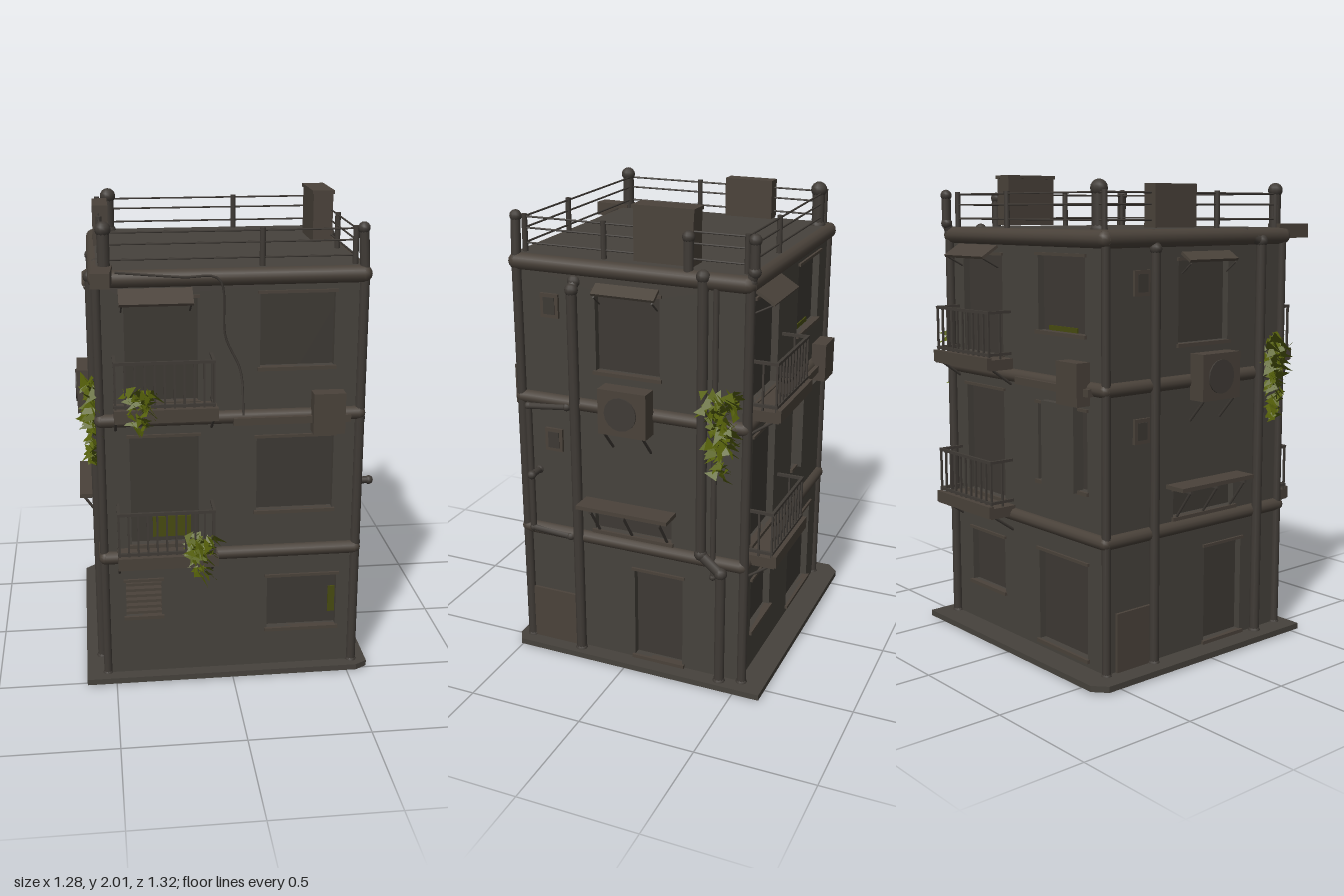
import * as THREE from 'three';

const mat = (name, hex, double) => {
  const m = new THREE.MeshStandardMaterial({ color: hex });
  m.name = name;
  if (double) m.side = THREE.DoubleSide;
  return m;
};

export function createModel() {
  const root = new THREE.Group();
  root.name = 'building';
  const wall = mat('concrete', 0x46423c), pane = mat('dark pane', 0x3d3934), metal = mat('metal', 0x403b36),
    trim = mat('trim', 0x4a423a), leaf = mat('ivy green', 0x55600a, true), moss = mat('moss', 0x474b10);
  let seed = 7;
  const rnd = () => (seed = (seed * 16807) % 2147483647) / 2147483647;

  const add = (parent, name, geo, m, x = 0, y = 0, z = 0) => {
    const o = new THREE.Mesh(geo, m);
    o.name = name;
    o.position.set(x, y, z);
    parent.add(o);
    return o;
  };
  // box given by its min and max corners
  const box = (p, name, m, x0, x1, y0, y1, z0, z1) =>
    add(p, name, new THREE.BoxGeometry(x1 - x0, y1 - y0, z1 - z0), m, (x0 + x1) / 2, (y0 + y1) / 2, (z0 + z1) / 2);
  // round bar between two points
  const bar = (p, name, m, a, b, r, n = 8) => {
    const A = new THREE.Vector3(...a), B = new THREE.Vector3(...b), d = B.clone().sub(A);
    const o = add(p, name, new THREE.CylinderGeometry(r, r, d.length(), n), m);
    o.position.copy(A).lerp(B, 0.5);
    o.quaternion.setFromUnitVectors(new THREE.Vector3(0, 1, 0), d.normalize());
    return o;
  };
  // pipe run with ball joints
  const pipe = (p, name, r, pts) => {
    const g = new THREE.Group();
    g.name = name;
    p.add(g);
    pts.forEach((q, i) => {
      if (i) bar(g, 'pipeLength', metal, pts[i - 1], q, r, 10);
      add(g, 'pipeJoint', new THREE.SphereGeometry(r * 1.25, 10, 8), metal, ...q);
    });
  };

  // base slab with two clipped corners
  const X0 = -0.53, X1 = 0.52, Z0 = -0.51, Z1 = 0.475;
  const slab = new THREE.Shape([[-0.625, -0.53], [0.54, -0.53], [0.59, -0.5], [0.59, 0.62], [-0.57, 0.62], [-0.625, 0.57]]
    .map(q => new THREE.Vector2(...q)));
  const base = add(root, 'baseSlab', new THREE.ExtrudeGeometry(slab, { depth: 0.025, bevelEnabled: false }), wall);
  base.rotation.x = -Math.PI / 2;

  // core and roof
  box(root, 'core', pane, X0 + 0.03, X1 - 0.03, 0.02, 1.74, Z0 + 0.03, Z1 - 0.03);
  box(root, 'roof', wall, X0, X1, 1.72, 1.775, Z0, Z1);

  // one group per side: local x runs to the right seen from outside, z points outward
  const side = (name, rot, x, z) => {
    const g = new THREE.Group();
    g.name = name;
    g.rotation.y = rot;
    g.position.set(x, 0, z);
    root.add(g);
    return g;
  };
  const front = side('frontSide', 0, 0, Z1), back = side('backSide', Math.PI, 0, Z0);
  const right = side('plusXSide', Math.PI / 2, X1, 0), left = side('minusXSide', -Math.PI / 2, X0, 0);

  // wall with recessed openings [x0, x1, y0, y1], corner balls and rounded floor bands
  const facade = (g, a, b, holes) => {
    const rect = (T, x0, x1, y0, y1) => new T([[x0, y0], [x1, y0], [x1, y1], [x0, y1]].map(q => new THREE.Vector2(...q)));
    const s = rect(THREE.Shape, a, b, 0.02, 1.73);
    holes.forEach(h => s.holes.push(rect(THREE.Path, ...h)));
    add(g, 'wall', new THREE.ExtrudeGeometry(s, { depth: 0.03, bevelEnabled: false }), wall, 0, 0, -0.03);
    holes.forEach(([x0, x1, y0, y1]) => {
      box(g, 'sill', trim, x0 - 0.01, x1 + 0.01, y0 - 0.015, y0, -0.02, 0.012);
      box(g, 'lintel', trim, x0 - 0.01, x1 + 0.01, y1, y1 + 0.012, -0.02, 0.01);
    });
    [[0.565, 0.028], [1.165, 0.028], [1.74, 0.035]].forEach(([y, r]) => {
      bar(g, 'floorBand', trim, [a, y, 0], [b, y, 0], r, 12);
      add(g, 'bandCorner', new THREE.SphereGeometry(r, 10, 8), trim, a, y, 0);
    });
  };
  const big = [[0.11, 0.41, 1.37, 1.67], [0.1, 0.42, 0.75, 1.07], [-0.43, -0.14, 1.24, 1.66], [-0.42, -0.14, 0.62, 1.09]];
  facade(front, X0, X1, [...big, [0.15, 0.45, 0.2, 0.44], [-0.45, -0.3, 0.29, 0.45]]);
  facade(back, -X1, -X0, [...big, [0.1, 0.42, 0.06, 0.45], [-0.4, -0.15, 0.2, 0.44]]);
  const small = [[-0.13, 0.15, 1.32, 1.65], [-0.15, 0.2, 0.61, 0.72], [0.03, 0.25, 0.04, 0.45]];
  facade(right, -Z1, -Z0, small);
  facade(left, Z0, Z1, small);

  // ground floor louvers, back shutter panel
  for (let i = 0; i < 6; i++) box(front, 'louver', trim, -0.45, -0.3, 0.3 + i * 0.026, 0.312 + i * 0.026, -0.03, 0.004);
  box(back, 'shutter', wall, 0.16, 0.37, 0.74, 1.09, -0.02, 0.03);

  // balcony with railing and sloped awning above the top one
  const balcony = (g, y) => {
    const b = new THREE.Group();
    b.name = 'balcony';
    b.position.y = y;
    g.add(b);
    box(b, 'balconyFloor', trim, -0.48, -0.07, -0.035, 0.01, 0, 0.125);
    box(b, 'floorLip', trim, -0.48, -0.07, -0.03, 0.02, 0.11, 0.132);
    for (const h of [0.03, 0.205]) {
      box(b, 'frontRail', metal, -0.48, -0.08, h - 0.006, h + 0.006, 0.104, 0.116);
      for (const x of [-0.48, -0.092]) box(b, 'sideRail', metal, x, x + 0.012, h - 0.006, h + 0.006, 0, 0.116);
    }
    for (let i = 0; i < 11; i++) {
      const x = -0.474 + i * 0.0388;
      box(b, 'baluster', metal, x - 0.004, x + 0.004, 0, 0.205, 0.106, 0.114);
    }
    for (const x of [-0.474, -0.086]) {
      box(b, 'sideBaluster', metal, x - 0.004, x + 0.004, 0, 0.205, 0.05, 0.058);
      bar(b, 'brace', metal, [x, -0.1, 0], [x, -0.03, 0.1], 0.006, 6);
    }
  };
  const awning = (g, x0, x1, y, out) => {
    const a = box(g, 'awning', trim, x0, x1, y - 0.006, y + 0.006, 0, out);
    a.position.set((x0 + x1) / 2, y - 0.025, out / 2);
    a.rotation.x = 0.55;
    for (const x of [x0 + 0.01, x1 - 0.01]) bar(g, 'awningStrut', metal, [x, y - 0.09, 0], [x, y - 0.05, out * 0.85], 0.004, 6);
  };
  for (const g of [front, back]) {
    balcony(g, 1.225);
    balcony(g, 0.595);
    awning(g, -0.45, -0.16, 1.7, 0.09);
    box(g, 'ledge', trim, 0, 0.48, 1.14, 1.17, 0, 0.045);
    box(g, 'wallUnit', trim, 0.32, 0.45, 1.1, 1.27, 0.01, 0.075);
  }

  // air conditioners, canopies and small frames on the two sides
  for (const g of [right, left]) {
    awning(g, -0.12, 0.15, 1.69, 0.06);
    box(g, 'airConditioner', trim, -0.08, 0.13, 1.09, 1.28, 0.02, 0.095);
    const fan = add(g, 'fanCover', new THREE.CylinderGeometry(0.07, 0.07, 0.008, 16), metal, 0.02, 1.185, 0.097);
    fan.rotation.x = Math.PI / 2;
    for (const x of [-0.06, 0.11]) bar(g, 'unitBracket', metal, [x, 1.0, 0], [x, 1.09, 0.08], 0.006, 6);
    box(g, 'canopy', trim, -0.19, 0.22, 0.735, 0.752, 0, 0.1);
    for (const x of [-0.13, 0.02, 0.18]) {
      box(g, 'canopyArm', metal, x - 0.006, x + 0.006, 0.72, 0.735, 0, 0.09);
      bar(g, 'canopyStrut', metal, [x, 0.61, 0], [x, 0.73, 0.085], 0.006, 6);
    }
    for (const y of [1.57, 0.99]) {
      box(g, 'smallFrame', trim, -0.37, -0.29, y - 0.05, y + 0.05, 0, 0.012);
      box(g, 'smallPane', pane, -0.355, -0.305, y - 0.035, y + 0.035, 0.01, 0.015);
    }
    box(g, 'lowPanel', trim, -0.46, -0.24, 0.02, 0.27, 0, 0.012);
  }

  // drain pipes
  pipe(root, 'rightPipe', 0.022, [[0.545, 0.02, 0.22], [0.545, 1.65, 0.22], [0.52, 1.68, 0.22]]);
  pipe(root, 'bentPipe', 0.022, [[0.545, 1.76, -0.34], [0.545, 0.6, -0.34], [0.55, 0.53, -0.43], [0.55, 0.02, -0.43]]);
  pipe(root, 'rearCornerPipe', 0.02, [[0.52, 0.02, -0.52], [0.52, 1.75, -0.52], [0.52, 1.79, -0.535], [0.52, 1.91, -0.535]]);
  pipe(root, 'frontCornerPipe', 0.02, [[0.525, 0.02, 0.475], [0.525, 1.75, 0.475], [0.515, 1.92, 0.475]]);
  pipe(root, 'loopPipe', 0.014, [[0.54, 0.56, 0.26], [0.54, 0.57, 0.44], [0.54, 1.13, 0.44], [0.54, 1.15, 0.26]]);
  pipe(root, 'outletPipe', 0.015, [[0.52, 0.84, 0.41], [0.59, 0.84, 0.41]]);
  pipe(root, 'thinRearPipe', 0.012, [[0.535, 0.5, -0.39], [0.535, 1.75, -0.39]]);
  pipe(root, 'leftPipe', 0.022, [[-0.555, 0.02, 0.32], [-0.555, 1.72, 0.32], [-0.53, 1.75, 0.24]]);
  pipe(root, 'leftRearPipe', 0.02, [[-0.55, 0.02, -0.27], [-0.55, 1.7, -0.27], [-0.53, 1.75, -0.27]]);
  pipe(root, 'leftFrontCornerPipe', 0.018, [[-0.535, 0.02, 0.47], [-0.535, 1.73, 0.47]]);
  pipe(root, 'leftBackCornerPipe', 0.018, [[-0.535, 0.02, -0.51], [-0.535, 1.73, -0.51]]);

  // roof railing
  const rx = [-0.51, 0.49], rz = [-0.495, 0.45];
  for (const y of [1.81, 1.87, 1.915]) {
    for (const z of rz) bar(root, 'roofRail', metal, [rx[0], y, z], [rx[1], y, z], 0.004, 6);
    for (const x of rx) bar(root, 'roofRail', metal, [x, y, rz[0]], [x, y, rz[1]], 0.004, 6);
  }
  for (const [x, z] of [[-0.51, -0.495], [0.49, -0.495], [-0.51, 0.45], [0.49, 0.45], [0.12, -0.495], [0.12, 0.45], [0.49, 0.1], [-0.51, 0.1]])
    bar(root, 'railPost', metal, [x, 1.76, z], [x, 1.925, z], 0.012);

  // roof boxes, vent and protruding beam
  box(root, 'roofUnit', trim, 0.41, 0.495, 1.78, 1.99, -0.28, -0.03);
  box(root, 'roofUnitLid', trim, 0.405, 0.5, 1.985, 2, -0.285, -0.025);
  box(root, 'smallRoofUnit', trim, -0.535, -0.47, 1.78, 1.95, -0.26, -0.04);
  pipe(root, 'roofVent', 0.028, [[-0.46, 1.77, -0.48], [-0.46, 1.93, -0.48]]);
  pipe(root, 'roofPipe', 0.02, [[0.52, 1.75, -0.27], [0.52, 1.9, -0.27]]);
  pipe(root, 'leftRoofPipe', 0.025, [[-0.5, 1.75, 0.46], [-0.5, 1.93, 0.46]]);
  const beam = box(root, 'beam', trim, -0.55, -0.475, 1.73, 1.79, 0.45, 0.615);
  beam.rotation.y = -0.08;

  // hanging cable
  const cable = [[-0.46, 1.77, 0.5], [-0.2, 1.75, 0.515], [-0.06, 1.74, 0.515], [-0.03, 1.5, 0.482], [0.03, 1.36, 0.482], [0.04, 1.18, 0.51]];
  add(root, 'cable', new THREE.TubeGeometry(new THREE.CatmullRomCurve3(cable.map(q => new THREE.Vector3(...q))), 40, 0.005, 5), metal);

  // ivy: drooping pointed leaves scattered in a tapering volume
  const ivy = (x, z, y0, y1, sx, sz, n) => {
    const v = [];
    for (let i = 0; i < n; i++) {
      const t = Math.pow(rnd(), 0.7), k = 0.35 + 0.65 * t;
      const c = [x + (rnd() - 0.5) * sx * k, y0 + 0.04 + (y1 - y0 - 0.06) * t, z + (rnd() - 0.5) * sz * k];
      const a = rnd() * 6.28, l = 0.03 + rnd() * 0.035, w = 0.012 + rnd() * 0.01;
      const ca = Math.cos(a), sa = Math.sin(a), drop = (0.25 - rnd()) * 0.07;
      const tip = [c[0] + ca * l, c[1] + drop, c[2] + sa * l];
      v.push(c[0] - sa * w, c[1] + w, c[2] + ca * w, c[0] + sa * w, c[1] - w, c[2] - ca * w, ...tip);
    }
    const geo = new THREE.BufferGeometry();
    geo.setAttribute('position', new THREE.Float32BufferAttribute(v, 3));
    geo.computeVertexNormals();
    add(root, 'ivy', geo, leaf);
  };
  ivy(-0.565, 0.41, 0.93, 1.34, 0.05, 0.12, 130);
  ivy(0.57, -0.43, 0.92, 1.34, 0.06, 0.13, 140);
  ivy(-0.38, 0.605, 1.12, 1.34, 0.1, 0.04, 80);
  ivy(-0.14, 0.6, 0.49, 0.72, 0.1, 0.04, 80);

  // moss patches
  box(front, 'mossPatch', moss, -0.33, -0.17, 0.64, 0.73, -0.03, -0.024);
  box(front, 'mossPatch', moss, 0.42, 0.45, 0.25, 0.37, -0.03, -0.024);
  box(front, 'balconyMoss', moss, -0.43, -0.31, 1.235, 1.24, 0.06, 0.11);
  box(back, 'mossPatch', moss, 0.15, 0.33, 1.37, 1.39, -0.03, -0.024);
  return root;
}
